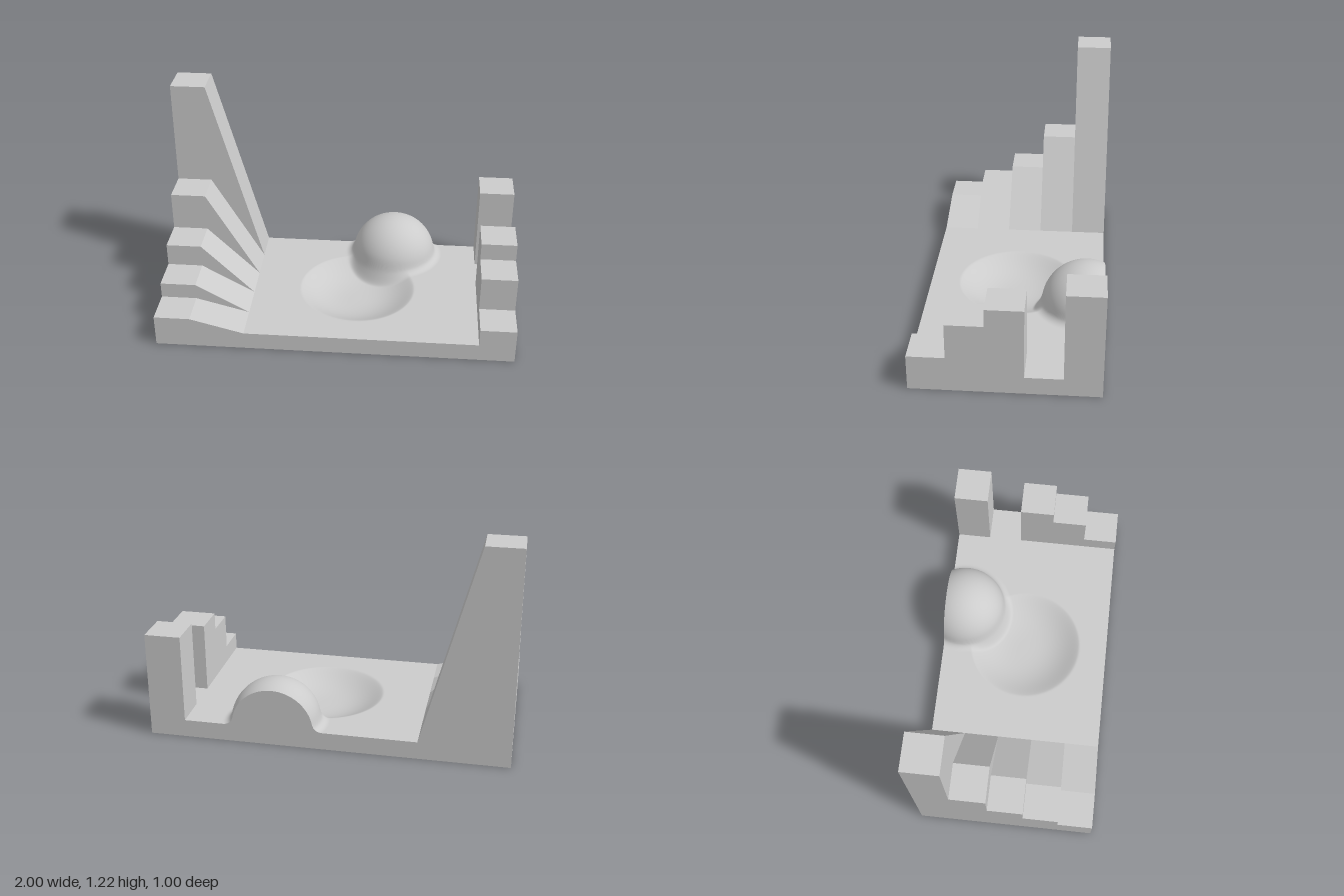
import * as THREE from 'three';

const GROUND = 0.1;
const material = new THREE.MeshStandardMaterial({ color: 0xcccccc });

// Height the dome adds: a hemisphere with a rounded fillet at its foot
function domeHeight(x, z) {
  const R = 0.25, f = 0.05;
  const r = Math.hypot(x - 0.3, z + 0.4);
  const foot = Math.sqrt((R + f) ** 2 - f * f);
  const contact = foot * R / (R + f);
  if (r < contact) return Math.sqrt(R * R - r * r);
  if (r < foot) return f - Math.sqrt(f * f - (r - foot) ** 2);
  return 0;
}

// Depth of the round hollow, fading out beneath the dome
function hollowDepth(x, z) {
  const t = Math.hypot(x - 0.1, z) / 0.335;
  if (t >= 1) return 0;
  const fade = THREE.MathUtils.smoothstep(Math.hypot(x - 0.3, z + 0.4), 0.235, 0.3);
  return 0.085 * (1 - t ** 3) ** 1.3 * fade;
}

const surfaceY = (x, z) => GROUND + domeHeight(x, z) - hollowDepth(x, z);

export function createModel() {
  const model = new THREE.Group();
  const add = (parent, name, geometry, x = 0, y = 0, z = 0) => {
    const mesh = new THREE.Mesh(geometry, material);
    mesh.name = name;
    mesh.position.set(x, y, z);
    parent.add(mesh);
    return mesh;
  };

  // Terrain between the two rows of blocks
  const x0 = -0.5, x1 = 0.8, width = x1 - x0, mid = (x0 + x1) / 2;
  const terrain = new THREE.PlaneGeometry(width, 1, 208, 160);
  terrain.rotateX(-Math.PI / 2);
  terrain.translate(mid, 0, 0);
  const p = terrain.attributes.position;
  for (let i = 0; i < p.count; i++) p.setY(i, surfaceY(p.getX(i), p.getZ(i)));
  terrain.computeVertexNormals();
  add(model, 'terrain', terrain);

  // Back wall follows the section through the dome
  const wall = new THREE.Shape();
  wall.moveTo(-x0, 0);
  wall.lineTo(-x1, 0);
  for (let i = 208; i >= 0; i--) {
    const x = x0 + width * i / 208;
    wall.lineTo(-x, surfaceY(x, -0.5));
  }
  const back = add(model, 'backWall', new THREE.ShapeGeometry(wall), 0, 0, -0.5);
  back.rotation.y = Math.PI;

  // Front wall and underside
  add(model, 'frontWall', new THREE.PlaneGeometry(width, GROUND), mid, GROUND / 2, 0.5);
  add(model, 'underside', new THREE.PlaneGeometry(width, 1).rotateX(Math.PI / 2), mid, 0, 0);

  // Ramps growing steeper from front to back
  const ramps = new THREE.Group();
  ramps.name = 'ramps';
  model.add(ramps);
  [0.18, 0.27, 0.4, 0.62, 1.22].forEach((h, i) => {
    const shape = new THREE.Shape([
      [-1, 0], [-0.5, 0], [-0.5, GROUND], [-0.8, h], [-1, h],
    ].map(([x, y]) => new THREE.Vector2(x, y)));
    const geometry = new THREE.ExtrudeGeometry(shape, { depth: 0.2, bevelEnabled: false });
    add(ramps, 'ramp', geometry, 0, 0, 0.3 - 0.2 * i);
  });

  // Steps with a gap before the last block
  const steps = new THREE.Group();
  steps.name = 'steps';
  model.add(steps);
  [0.2, 0.4, 0.5, GROUND, 0.6].forEach((h, i) => {
    add(steps, 'step', new THREE.BoxGeometry(0.2, h, 0.2), 0.9, h / 2, 0.4 - 0.2 * i);
  });

  return model;
}
